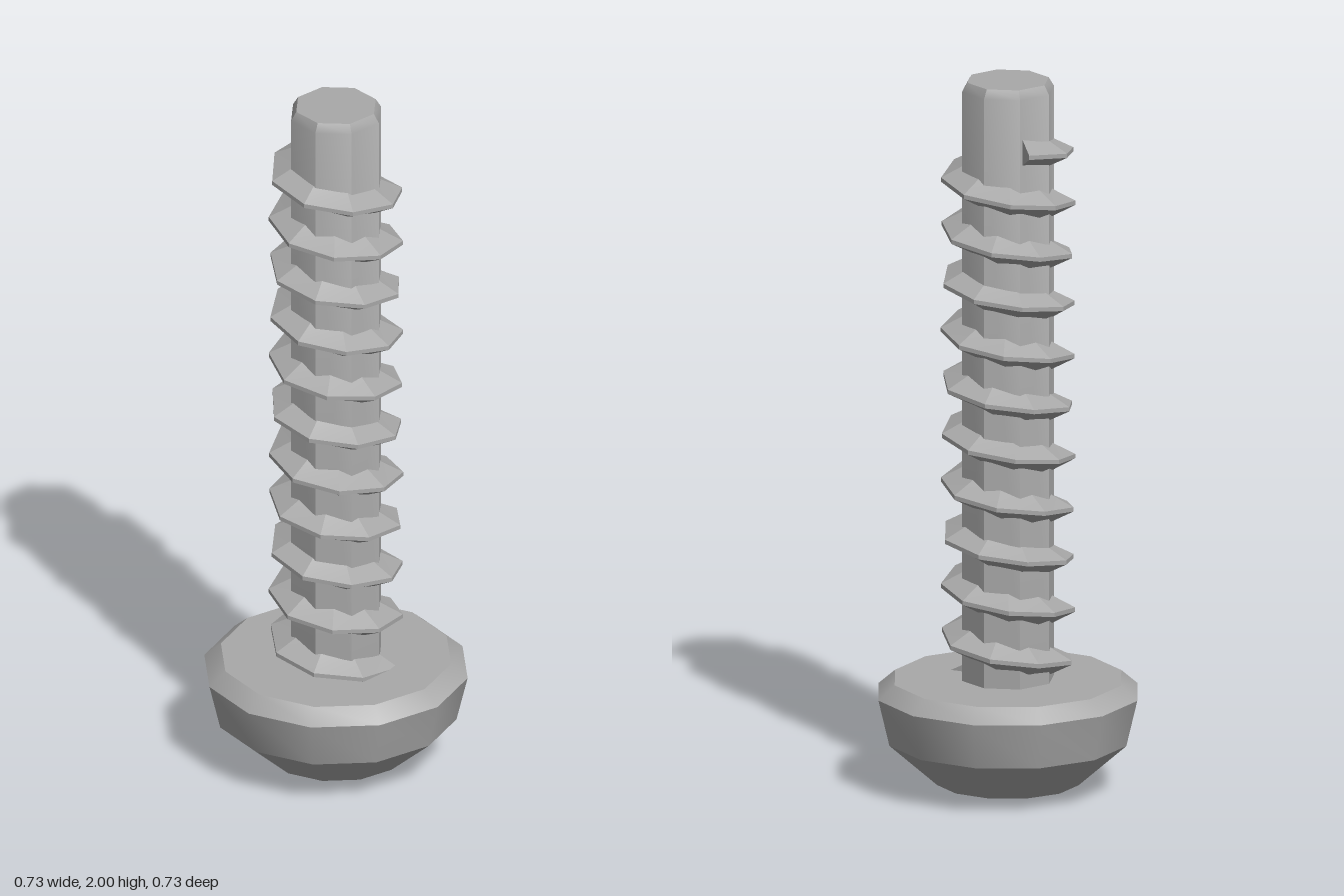
import * as THREE from 'three';
import { toCreasedNormals } from 'three/addons/utils/BufferGeometryUtils.js';

const steel = new THREE.MeshStandardMaterial({ color: 0xa8a8a8, side: THREE.DoubleSide });
steel.name = 'steel';

const SIDES = 12;
const V = (x, y) => new THREE.Vector2(x, y);
const lathe = (pts, n) => new THREE.LatheGeometry(pts.map(p => V(...p)), n);

function add(group, name, geometry, crease = 0.6) {
  const mesh = new THREE.Mesh(toCreasedNormals(geometry, crease), steel);
  mesh.name = name;
  group.add(mesh);
}

function indexed(positions, index) {
  const g = new THREE.BufferGeometry();
  g.setAttribute('position', new THREE.Float32BufferAttribute(positions, 3));
  g.setIndex(index);
  return g;
}

// Plus-shaped outline: arm reach and half width
function crossOutline(reach, w) {
  const pts = [];
  for (let k = 0; k < 4; k++) {
    const c = Math.round(Math.cos(k * Math.PI / 2)), s = Math.round(Math.sin(k * Math.PI / 2));
    for (const [x, y] of [[reach, -w], [reach, w], [w, w]]) pts.push(V(x * c - y * s, x * s + y * c));
  }
  return pts;
}

// Height of the slightly domed underside at a given radius
const domeY = r => Math.max(0, (r - 0.078) / 0.122) * 0.02;

// Underside of the head with the cross cut out
function headFace(cross) {
  const ring = [];
  for (let i = 0; i < SIDES; i++) {
    const a = i / SIDES * Math.PI * 2;
    ring.push(V(0.2 * Math.cos(a), 0.2 * Math.sin(a)));
  }
  const shape = new THREE.Shape(ring);
  shape.holes.push(new THREE.Path(cross));
  const g = new THREE.ShapeGeometry(shape).rotateX(Math.PI / 2);
  const p = g.attributes.position;
  for (let i = 0; i < p.count; i++) p.setY(i, domeY(Math.hypot(p.getX(i), p.getZ(i))));
  return g;
}

// Tapering walls of the driver recess
function recessWalls(outer, inner, depth) {
  const pos = [], idx = [], n = outer.length;
  outer.forEach(p => pos.push(p.x, domeY(p.length()), p.y));
  inner.forEach(p => pos.push(p.x, depth, p.y));
  for (let k = 0; k < n; k++) {
    const m = (k + 1) % n;
    idx.push(k, m, k + n, m, m + n, k + n);
  }
  return indexed(pos, idx);
}

// Helical ridge swept from a four-point section
function threadGeometry() {
  const pitch = 0.1437, perTurn = 8.4, y0 = 1.72;
  const start = (0.3 - y0) / pitch, end = 0.74;
  const steps = Math.round((end - start) * perTurn);
  const section = [[0.115, -0.042], [0.184, -0.006], [0.184, 0.006], [0.115, 0.042]];
  const pos = [], idx = [];
  for (let i = 0; i <= steps; i++) {
    const turn = start + (end - start) * i / steps, a = turn * Math.PI * 2;
    for (const [r, dy] of section) pos.push(r * Math.cos(a), y0 + turn * pitch + dy, r * Math.sin(a));
    if (i === steps) break;
    for (let j = 0; j < 3; j++) {
      const p = i * 4 + j;
      idx.push(p, p + 1, p + 4, p + 1, p + 5, p + 4);
    }
  }
  const e = steps * 4;
  idx.push(0, 2, 1, 0, 3, 2, e, e + 1, e + 2, e, e + 2, e + 3);
  return indexed(pos, idx);
}

export function createModel() {
  const model = new THREE.Group();
  model.name = 'screw';

  // Shaft with a chamfered tip
  add(model, 'shaft', lathe([[0.13, 0.28], [0.13, 1.975], [0.115, 2], [0, 2]], 8));
  add(model, 'thread', threadGeometry(), 0.3);

  // Pan head
  const head = new THREE.Group();
  head.name = 'head';
  model.add(head);
  add(head, 'headShell', lathe([[0.2, 0.02], [0.335, 0.14], [0.366, 0.27], [0.32, 0.31], [0, 0.31]], SIDES));

  // Cross-shaped driver recess
  const outer = crossOutline(0.175, 0.055), inner = crossOutline(0.07, 0.03), depth = 0.17;
  add(head, 'headFace', headFace(outer));
  add(head, 'recessWalls', recessWalls(outer, inner, depth));
  add(head, 'recessFloor', new THREE.ShapeGeometry(new THREE.Shape(inner)).rotateX(Math.PI / 2).translate(0, depth, 0));

  return model;
}
